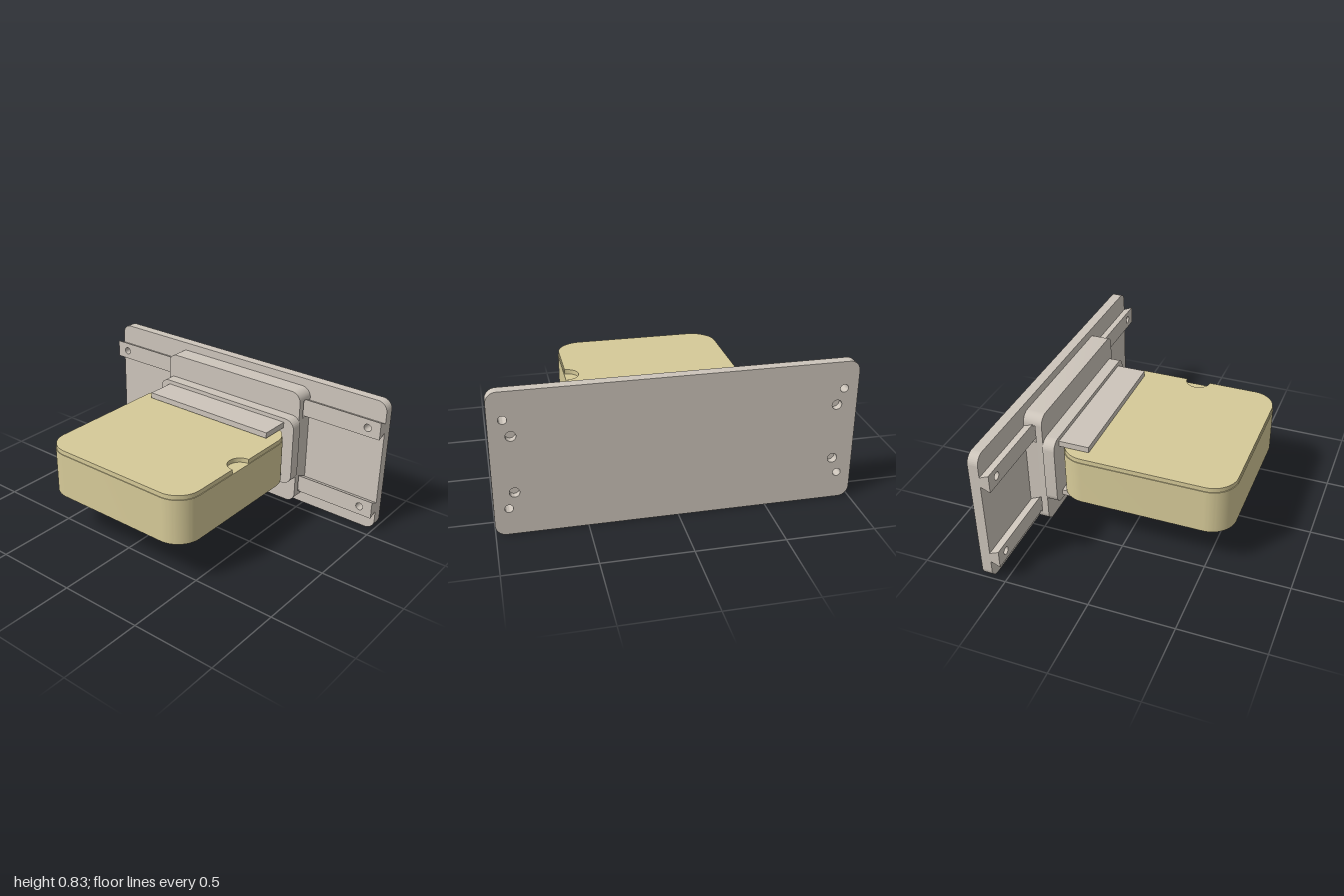
import * as THREE from 'three';
import { toCreasedNormals } from 'three/addons/utils/BufferGeometryUtils.js';

const grey = new THREE.MeshStandardMaterial({ color: 0xcdc5bb });
const sand = new THREE.MeshStandardMaterial({ color: 0xd6ca98 });
const plum = new THREE.MeshStandardMaterial({ color: 0x77607a });

const MID = 0.4175;      // height of the plate's centre line
const RAIL = 0.26;       // rail distance from the centre line
const CLOCK_Z = 0.122;   // centre of the clock case

// Rounded rectangle around (0, cy), with an optional round notch in its +x edge
function roundRect(hw, hh, r, cy = 0, notch = 0) {
  const s = new THREE.Shape();
  s.moveTo(-hw + r, cy - hh);
  s.lineTo(hw - r, cy - hh);
  s.absarc(hw - r, cy - hh + r, r, -Math.PI / 2, 0);
  if (notch) s.absarc(hw, cy, notch, -Math.PI / 2, -Math.PI * 1.5, true);
  s.absarc(hw - r, cy + hh - r, r, 0, Math.PI / 2);
  s.absarc(-hw + r, cy + hh - r, r, Math.PI / 2, Math.PI);
  s.absarc(-hw + r, cy - hh + r, r, Math.PI, Math.PI * 1.5);
  return s;
}

function addHole(shape, x, y, r) {
  shape.holes.push(new THREE.Path().absarc(x, y, r, 0, Math.PI * 2, true));
}

function extrude(shape, depth, steps = 1) {
  return new THREE.ExtrudeGeometry(shape, { depth, steps, bevelEnabled: false, curveSegments: 14 });
}

// Slab standing upright, from z0 to z1
const upright = (shape, z0, z1) => extrude(shape, z1 - z0).translate(0, 0, z0);

// Slab lying flat around the clock centre, from y0 to y1 (shape y points to -z)
const flat = (shape, y0, y1) =>
  extrude(shape, y1 - y0).rotateX(-Math.PI / 2).translate(0, y0, CLOCK_Z);

// Dovetail rail with screw holes: its back edges are drawn in to a neck
function railGeometry(cy) {
  const s = roundRect(1, 0.054, 0.0005, 0);
  for (const x of [-0.92, 0.92]) addHole(s, x, 0, 0.023);
  const g = upright(s, -0.575, -0.52);
  const p = g.attributes.position;
  for (let i = 0; i < p.count; i++) {
    const y = p.getY(i);
    if (p.getZ(i) < -0.55 && Math.abs(y) > 0.04) p.setY(i, Math.sign(y) * 0.03);
  }
  return g.translate(0, cy, 0);
}

// Sliding block: grooved side profile swept along x, cut to rounded corners
function sliderGeometry() {
  const hh = 0.3675, r = 0.06, back = 0.575, floor = 0.505;
  const s = new THREE.Shape();
  s.moveTo(0.465, MID - hh);
  s.lineTo(back, MID - hh);
  for (const c of [MID - RAIL, MID + RAIL]) {
    s.lineTo(back, c - 0.034);
    s.lineTo(floor, c - 0.066);
    s.lineTo(floor, c + 0.066);
    s.lineTo(back, c + 0.034);
  }
  s.lineTo(back, MID + hh);
  s.lineTo(0.465, MID + hh);
  const steps = 17, first = 0.5 / steps;
  const g = extrude(s, 1, steps).rotateY(Math.PI / 2).translate(-0.5, 0, 0);
  const p = g.attributes.position;
  for (let i = 0; i < p.count; i++) {
    const t = p.getX(i);
    const a = (Math.abs(t) - first) / (0.5 - first) * Math.PI / 2;
    const h = hh - r * (1 - Math.cos(a));
    p.setX(i, Math.sign(t) * (0.5 - r + r * Math.sin(a)));
    p.setY(i, MID + THREE.MathUtils.clamp(p.getY(i) - MID, -h, h));
  }
  return g;
}

// Clock hand: round hub and tapering blade reaching (dx, dz) from the centre
function handGeometry(dx, dz, y0, y1) {
  const len = Math.hypot(dx, dz), hub = 0.057, w = 0.022;
  const a0 = Math.asin(w / hub);
  const s = new THREE.Shape();
  s.absarc(0, 0, hub, a0, Math.PI * 2 - a0);
  s.lineTo(len, -0.014);
  s.lineTo(len, 0.014);
  s.closePath();
  return extrude(s, y1 - y0).rotateX(-Math.PI / 2)
    .rotateY(Math.atan2(-dz, dx)).translate(0, y0, CLOCK_Z);
}

export function createModel() {
  const model = new THREE.Group();
  const add = (name, geometry, material) => {
    const mesh = new THREE.Mesh(toCreasedNormals(geometry, 0.6), material);
    mesh.name = name;
    model.add(mesh);
  };

  // Wall plate in two layers: the inner holes only reach through the back one
  const backLayer = roundRect(1, MID, 0.06, MID);
  const frontLayer = roundRect(1, MID, 0.06, MID);
  for (const x of [-1, 1]) for (const y of [-1, 1]) {
    addHole(backLayer, x * 0.92, MID + y * RAIL, 0.023);
    addHole(frontLayer, x * 0.92, MID + y * RAIL, 0.023);
    addHole(backLayer, x * 0.885, MID + y * 0.165, 0.028);
  }
  add('wallPlateBack', upright(backLayer, -0.635, -0.595), grey);
  add('wallPlateFront', upright(frontLayer, -0.595, -0.575), grey);

  // Rails and sliding block
  add('lowerRail', railGeometry(MID - RAIL), grey);
  add('upperRail', railGeometry(MID + RAIL), grey);
  add('slidingBlock', sliderGeometry(), grey);

  // Holder: flange with two tongues gripping the clock case
  add('holderFlange', upright(roundRect(0.51, 0.215, 0.06, 0.42), -0.465, -0.395), grey);
  const tongue = (y0, y1, front) => new THREE.BoxGeometry(0.88, y1 - y0, front + 0.4)
    .translate(0, (y0 + y1) / 2, (front - 0.4) / 2);
  add('upperTongue', tongue(0.575, 0.61, -0.215), grey);
  add('lowerTongue', tongue(0.228, 0.262, -0.25), grey);

  // Clock case with a dial of twelve slots underneath
  const dial = roundRect(0.51, 0.512, 0.15);
  for (let i = 0; i < 12; i++) {
    const a = i * Math.PI / 6, c = Math.cos(a), s = Math.sin(a);
    const corners = [[0.35, -0.012], [0.35, 0.012], [0.43, 0.012], [0.43, -0.012]];
    dial.holes.push(new THREE.Path(corners.map(([u, v]) =>
      new THREE.Vector2(u * c - v * s, u * s + v * c))));
  }
  add('dial', flat(dial, 0.27, 0.29), sand);
  add('clockCase', flat(roundRect(0.51, 0.512, 0.15), 0.29, 0.543), sand);
  add('caseLid', flat(roundRect(0.506, 0.508, 0.147, 0, 0.075), 0.543, 0.57), sand);

  // Hands on their shaft
  add('hourHand', handGeometry(-0.2, 0.153, 0.247, 0.265), plum);
  add('minuteHand', handGeometry(0.243, 0.245, 0.221, 0.239), plum);
  const disc = (r, y0, y1) => new THREE.CylinderGeometry(r, r, y1 - y0, 32)
    .translate(0, (y0 + y1) / 2, CLOCK_Z);
  add('handCap', disc(0.057, 0.193, 0.213), plum);
  add('handShaft', disc(0.02, 0.2, 0.275), plum);

  return model;
}
